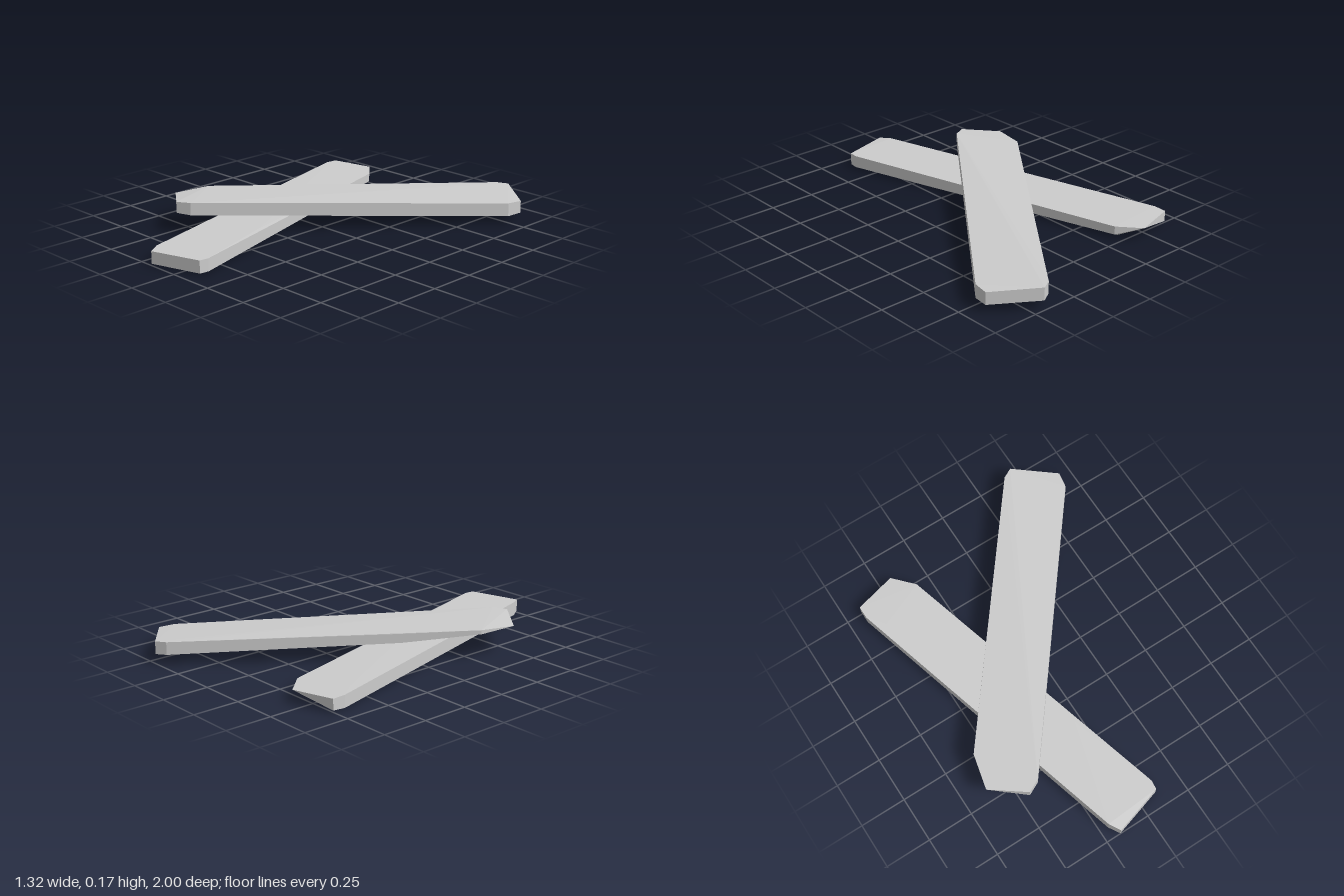
import * as THREE from 'three';
import { ConvexGeometry } from 'three/addons/geometries/ConvexGeometry.js';

const grey = new THREE.MeshStandardMaterial({ color: 0xcccccc });
grey.name = 'pale grey';

// Rough-cut plank: corners are [x, z, bottom y, top y]; equal heights taper to a sharp edge.
function plank(name, corners) {
  const points = [];
  for (const [x, z, low, high] of corners) {
    points.push(new THREE.Vector3(x, high, z));
    if (low < high) points.push(new THREE.Vector3(x, low, z));
  }
  const mesh = new THREE.Mesh(new ConvexGeometry(points), grey);
  mesh.name = name;
  return mesh;
}

export function createModel() {
  const group = new THREE.Group();
  group.name = 'crossedPlanks';

  // Plank lying on the ground, chipped at its back left corner
  group.add(plank('lowerPlank', [
    [-0.66, -0.76, 0.015, 0.073],
    [-0.435, -0.82, 0.068, 0.068],
    [-0.335, -0.71, 0.025, 0.07],
    [-0.37, -0.70, 0.008, 0.07],
    [0.105, 0.87, 0.01, 0.077],
    [0.10, 0.92, 0.01, 0.077],
    [-0.17, 1.0, 0.01, 0.075],
    [-0.205, 0.94, 0.005, 0.08],
    [-0.66, -0.69, 0.01, 0.075],
    [-0.59, -0.60, 0.0, 0.075],
    [-0.05, 0.40, 0.0, 0.077],
  ]));

  // Plank resting across it, sloping down to the back with a sharp front tip
  group.add(plank('upperPlank', [
    [-0.635, 0.47, 0.15, 0.15],
    [-0.46, 0.605, 0.11, 0.17],
    [-0.39, 0.57, 0.105, 0.172],
    [0.645, -0.75, 0.036, 0.108],
    [0.66, -0.835, 0.04, 0.106],
    [0.445, -1.0, 0.052, 0.12],
    [0.39, -0.97, 0.055, 0.122],
    [-0.59, 0.28, 0.135, 0.157],
    [-0.34, -0.04, 0.097, 0.145],
  ]));

  return group;
}
